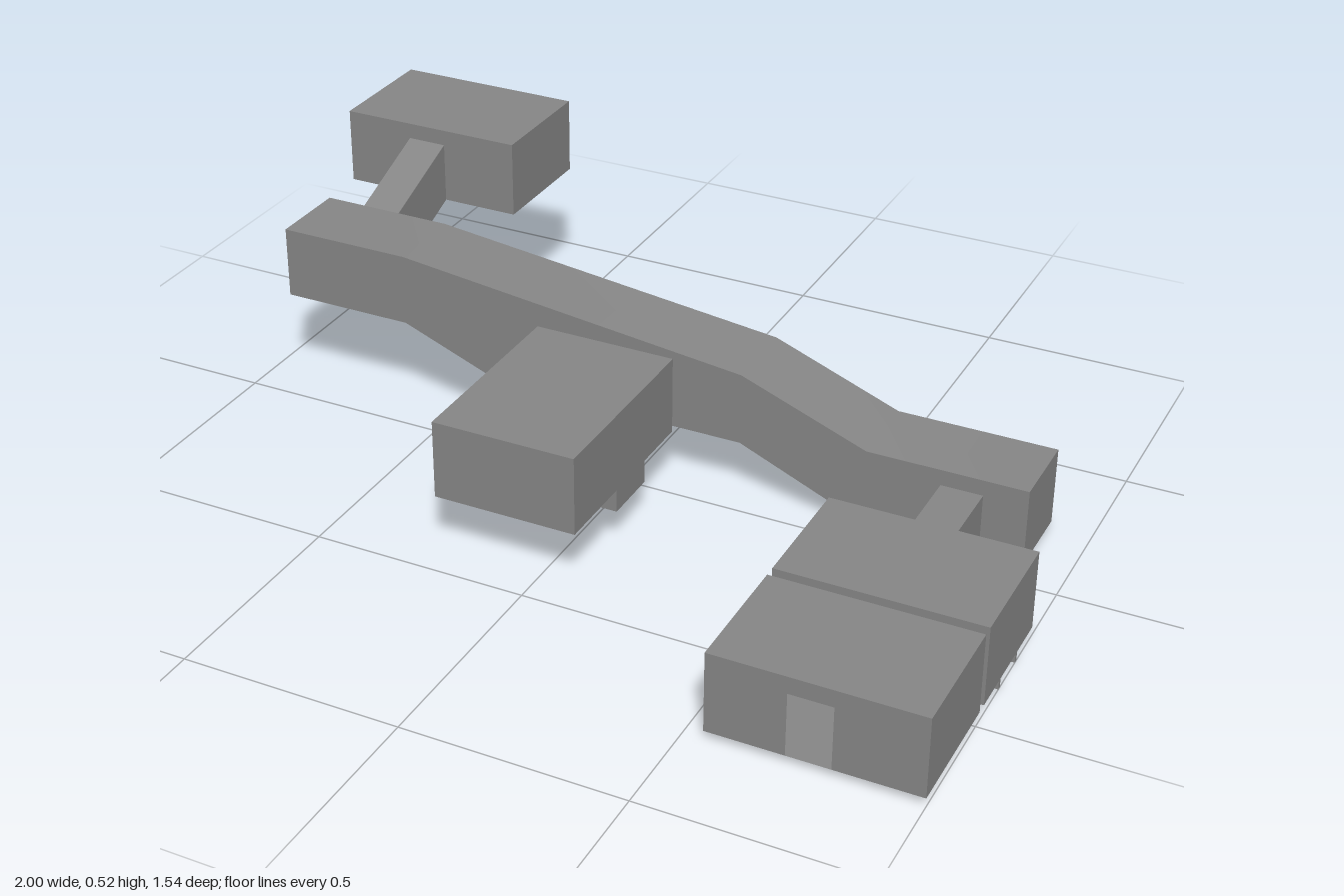
import * as THREE from 'three';
import { mergeGeometries, toCreasedNormals } from 'three/addons/utils/BufferGeometryUtils.js';

const material = new THREE.MeshStandardMaterial({ color: 0x868686, side: THREE.DoubleSide });

const DOOR_W = 0.095;
const DOOR_H = 0.145;

// Flat wall in an xy outline, with doorways cut up from its level floor edges.
// Doors are given by the x of their centre.
function wall(outline, z, doors, faceBack = false) {
  const pts = [];
  outline.forEach(([x, y], i) => {
    pts.push(new THREE.Vector2(x, y));
    const [nx, ny] = outline[(i + 1) % outline.length];
    for (const d of doors) {
      const a = d - DOOR_W / 2, b = d + DOOR_W / 2;
      if (ny === y && x < a && nx > b) {
        for (const [px, py] of [[a, y], [a, y + DOOR_H], [b, y + DOOR_H], [b, y]]) {
          pts.push(new THREE.Vector2(px, py));
        }
      }
    }
  });
  const g = new THREE.ShapeGeometry(new THREE.Shape(pts));
  if (faceBack) g.index.array.reverse();
  const flat = g.toNonIndexed();
  flat.deleteAttribute('uv');
  flat.translate(0, 0, z);
  flat.computeVertexNormals();
  return flat;
}

// Band of quads between two matching loops (counter-clockwise from the front).
function band(back, front, z0, z1) {
  const pos = [];
  back.forEach((p, i) => {
    const j = (i + 1) % back.length;
    const a = [...front[i], z1], b = [...p, z0];
    const c = [...back[j], z0], d = [...front[j], z1];
    pos.push(...a, ...b, ...c, ...a, ...c, ...d);
  });
  const g = new THREE.BufferGeometry();
  g.setAttribute('position', new THREE.Float32BufferAttribute(pos, 3));
  g.computeVertexNormals();
  return g;
}

const rect = (x0, x1, y0, y1) => [[x0, y0], [x1, y0], [x1, y1], [x0, y1]];

// Hollow room with doorways in its front and back walls.
function hall(outline, z0, z1, frontDoors, backDoors) {
  return mergeGeometries([
    band(outline, outline, z0, z1),
    wall(outline, z1, frontDoors),
    wall(outline, z0, backDoors, true),
  ]);
}

// Open-ended passage running along z; the floor may climb between its ends.
function passage(x, yBack, yFront, z0, z1) {
  const section = (y) => rect(x - DOOR_W / 2, x + DOOR_W / 2, y, y + DOOR_H);
  return band(section(yBack), section(yFront), z0, z1);
}

// Solid block between two corners.
function block(x0, x1, y0, y1, z0, z1) {
  return new THREE.BoxGeometry(x1 - x0, y1 - y0, z1 - z0)
    .translate((x0 + x1) / 2, (y0 + y1) / 2, (z0 + z1) / 2);
}

export function createModel() {
  const model = new THREE.Group();
  const add = (name, geometry) => {
    const mesh = new THREE.Mesh(geometry, material);
    mesh.name = name;
    model.add(mesh);
  };

  const highX = -0.783, midX = -0.058, lowX = 0.763;

  // Long descending corridor, shaded smoothly over its gentle bends
  const corridor = [
    [-0.91, 0.24], [-0.595, 0.24], [-0.35, 0.145], [0.25, 0.145], [0.545, 0.021], [0.91, 0.021],
    [0.91, 0.203], [0.545, 0.203], [0.25, 0.315], [-0.55, 0.405], [-0.595, 0.41], [-0.91, 0.41],
  ];
  add('mainCorridor', toCreasedNormals(hall(corridor, -0.235, -0.045, [midX, lowX], [highX]), 0.6));

  // Upper room and its ramp
  add('upperRoom', hall(rect(-1, -0.548, 0.337, 0.52), -0.772, -0.48, [highX], [-0.68]));
  add('upperRamp', passage(highX, 0.337, 0.24, -0.48, -0.235));

  // Two lower rooms in line
  const lower = rect(0.545, 1, 0.021, 0.205);
  add('lowerInnerRoom', hall(lower, 0.163, 0.455, [lowX], [lowX]));
  add('lowerOuterRoom', hall(lower, 0.48, 0.772, [lowX], [lowX]));
  add('lowerPassage', passage(lowX, 0.021, 0.021, -0.045, 0.163));
  add('lowerLink', passage(lowX, 0.021, 0.021, 0.455, 0.48));

  // Shallow floor channels below the inner room
  for (const z of [0.262, 0.362]) {
    add('floorChannel', block(0.545, 1, 0, 0.021, z - 0.005, z + 0.005));
  }

  // Middle room with a sunken trench under its floor
  add('middleRoom', hall(rect(-0.235, 0.098, 0.147, 0.33), -0.02, 0.445, [], [midX]));
  add('floorTrench', block(-0.235, 0.098, 0.093, 0.147, 0.118, 0.252));
  add('middlePassage', passage(midX, 0.147, 0.145, -0.045, -0.02));

  return model;
}
